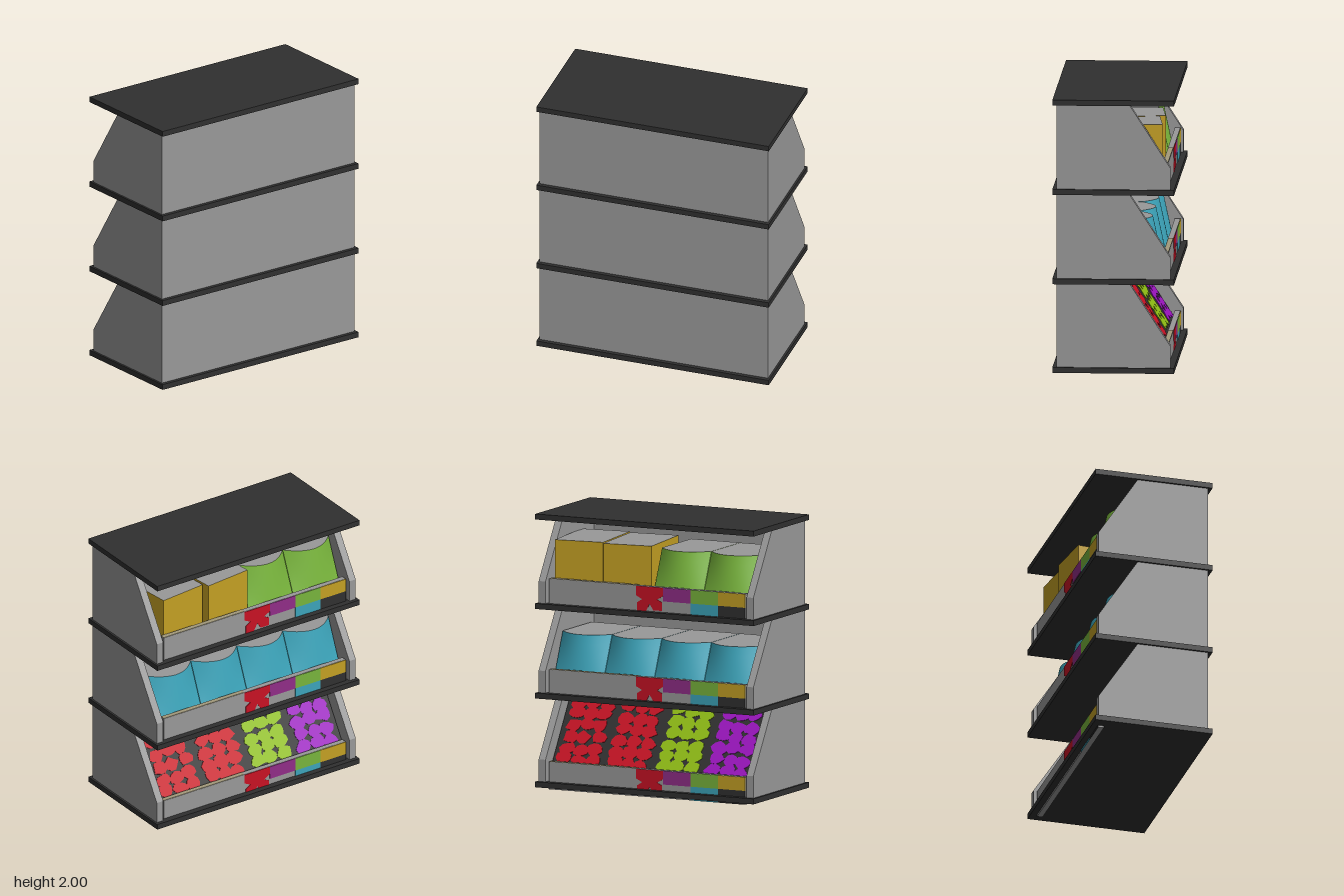
import * as THREE from 'three';
import { mergeGeometries } from 'three/addons/utils/BufferGeometryUtils.js';

const mat = (name, color) => Object.assign(new THREE.MeshStandardMaterial({ color }), { name });
const M = {
  black: mat('black', 0x303030), grey: mat('grey', 0x999999), yellow: mat('yellow', 0xc4a024),
  red: mat('red', 0xc81224), lime: mat('lime', 0x90be14), purple: mat('purple', 0x9c14c0),
  green: mat('green', 0x78b43c), cyan: mat('cyan', 0x3ca4ba), plum: mat('plum', 0x902d87),
  tan: mat('tan', 0xa39a7c),
};

let seed = 7;
const rand = () => (seed = (seed * 16807) % 2147483647) / 2147483647;

function add(parent, name, geometry, material) {
  const mesh = new THREE.Mesh(geometry, material);
  mesh.name = name;
  parent.add(mesh);
  return mesh;
}

// Box given by its limits on each axis
function block(parent, name, material, x0, x1, y0, y1, z0, z1) {
  const g = new THREE.BoxGeometry(x1 - x0, y1 - y0, z1 - z0);
  g.translate((x0 + x1) / 2, (y0 + y1) / 2, (z0 + z1) / 2);
  return add(parent, name, g, material);
}

// Side profile in x and y, extruded along z
function profile(parent, name, material, points, z0, z1) {
  const shape = new THREE.Shape(points.map(p => new THREE.Vector2(...p)));
  const g = new THREE.ExtrudeGeometry(shape, { depth: z1 - z0, bevelEnabled: false });
  return add(parent, name, g.translate(0, 0, z0), material);
}

// Front lip with its coloured label tiles in two rows
function lip(parent, y) {
  block(parent, 'frontLip', M.grey, -0.39, -0.35, y, y + 0.2, -0.79, 0.79);
  block(parent, 'lipTrim', M.tan, -0.388, -0.352, y + 0.2, y + 0.203, -0.79, -0.09);
  const upper = [null, M.plum, M.green, M.yellow];
  const lower = [null, null, M.cyan, M.black];
  for (let i = 0; i < 4; i++) {
    const z = -0.09 + i * 0.22;
    [[upper[i], 0.1, 0.198], [lower[i], 0, 0.1]].forEach(([m, a, b]) => {
      if (m) block(parent, 'labelTile', m, -0.394, -0.39, y + a, y + b, z, z + 0.22);
    });
  }
  // red printed tile with notches along its lower half
  const s = new THREE.Shape([[0, 0.198], [0.22, 0.198], [0.22, 0.14], [0.17, 0.11], [0.21, 0.09],
    [0.21, 0.03], [0.14, 0.03], [0.11, 0.075], [0.08, 0.02], [0.01, 0.02], [0.01, 0.08],
    [0.05, 0.105], [0, 0.13]].map(p => new THREE.Vector2(...p)));
  const g = new THREE.ExtrudeGeometry(s, { depth: 0.004, bevelEnabled: false });
  g.rotateY(-Math.PI / 2).translate(-0.39, y, -0.09);
  add(parent, 'redLabel', g, M.red);
}

// Leaning pouch with a rounded front, flat top in grey
function pouch(parent, material, y, z) {
  const g = new THREE.BoxGeometry(1, 1, 1, 1, 6, 16);
  const p = g.attributes.position;
  for (let i = 0; i < p.count; i++) {
    const u = p.getZ(i), v = p.getY(i) + 0.5;
    const bulge = (0.02 + 0.09 * v) * (1 - 4 * u * u);
    const x = p.getX(i) < 0 ? -0.34 + 0.18 * v - bulge : 0.3;
    p.setXYZ(i, x, y + 0.42 * v, z + u * 0.396);
  }
  g.computeVertexNormals();
  add(parent, 'pouch', g, [material, material, M.grey, material, material, material]);
}

// Carton turned slightly towards the end of the shelf
function carton(parent, y, z) {
  const g = new THREE.BoxGeometry(0.55, 0.46, 0.37).translate(0.275, 0.23, 0.185);
  const box = add(parent, 'carton', g, [M.yellow, M.yellow, M.grey, M.yellow, M.yellow, M.yellow]);
  box.position.set(-0.35, y, z);
  box.rotation.y = 0.11;
}

// Flat irregular piece of produce
function piece(x, y) {
  const turn = rand() * 6.28, points = [];
  for (let i = 0; i < 9; i++) {
    const a = turn + i * Math.PI * 2 / 9, r = 0.045 + rand() * 0.022;
    points.push(new THREE.Vector2(x + Math.cos(a) * r * 1.1, y + Math.sin(a) * r * 0.88));
  }
  return new THREE.ExtrudeGeometry(new THREE.Shape(points), { depth: 0.004, bevelEnabled: false });
}

// Patch of produce lying on the sloping tray
function produce(parent, name, material, z) {
  const list = [];
  for (let row = 0; row < 6; row++) {
    for (let col = -1; col <= 1; col++) {
      list.push(piece(col * 0.11 + (rand() - 0.5) * 0.02, 0.07 + row * 0.09 + (rand() - 0.5) * 0.03));
    }
  }
  const mesh = add(parent, name, mergeGeometries(list), material);
  const up = new THREE.Vector3(0.3, 0.47, 0).normalize();
  const out = new THREE.Vector3(-up.y, up.x, 0);
  mesh.quaternion.setFromRotationMatrix(
    new THREE.Matrix4().makeBasis(new THREE.Vector3(0, 0, 1), up, out));
  mesh.position.set(-0.345, 0.154, z).addScaledVector(out, 0.001);
}

export function createModel() {
  const model = new THREE.Group();
  model.name = 'displayShelf';

  // four dark boards
  const boards = [0.015, 0.66, 1.31, 1.96];
  boards.forEach(y => block(model, 'board', M.black, -0.437, 0.437, y, y + 0.04, -0.88, 0.88));

  // three tiers: back panel, sloped end panels, front lip
  for (let i = 0; i < 3; i++) {
    const tier = new THREE.Group();
    tier.name = 'tier';
    model.add(tier);
    const y0 = boards[i] + 0.04, y1 = boards[i + 1];
    block(tier, 'backPanel', M.grey, 0.355, 0.408, y0, y1, -0.865, 0.865);
    const side = [[-0.41, y0], [0.355, y0], [0.355, y1], [-0.12, y1], [-0.41, y0 + 0.16]];
    profile(tier, 'endPanel', M.grey, side, -0.865, -0.81);
    profile(tier, 'endPanel', M.grey, side, 0.81, 0.865);
    lip(tier, [0, 0.67, 1.33][i]);
  }

  // bottom tier: sloping tray of produce
  profile(model, 'produceTray', M.black,
    [[-0.345, 0.055], [0.3, 0.055], [0.3, 0.624], [-0.045, 0.624], [-0.345, 0.154]], -0.8, 0.8);
  [M.red, M.red, M.lime, M.purple].forEach((m, i) => produce(model, 'produce', m, -0.6 + i * 0.4));

  // middle tier: four pouches
  for (let i = 0; i < 4; i++) pouch(model, M.cyan, 0.7, -0.6 + i * 0.4);

  // top tier: two cartons and two pouches
  carton(model, 1.35, -0.765);
  carton(model, 1.35, -0.375);
  pouch(model, M.green, 1.36, 0.2);
  pouch(model, M.green, 1.36, 0.6);
  return model;
}
